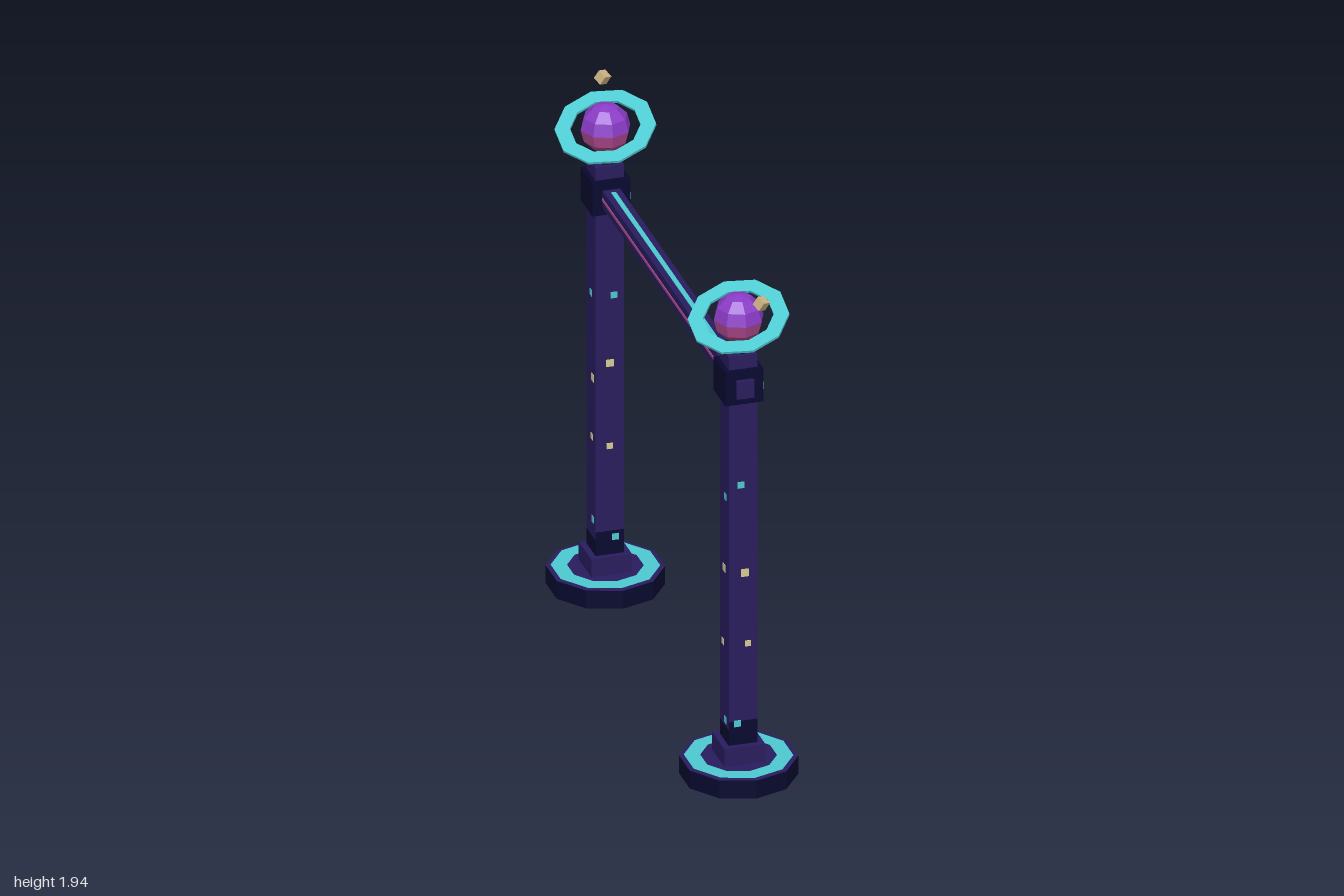
import * as THREE from 'three';

const mat = (name, color) => {
  const m = new THREE.MeshStandardMaterial({ color, flatShading: true });
  m.name = name;
  return m;
};

export function createModel() {
  const indigo = mat('indigo', 0x291d5e);
  const navy = mat('navy', 0x08082f);
  const plum = mat('plum', 0x22163a);
  const teal = mat('teal', 0x4ecad1);
  const paleYellow = mat('paleYellow', 0xd8cd92);
  const sand = mat('sand', 0xccb484);
  const violet = mat('violet', 0x8a3cc6);
  const rose = mat('rose', 0xb04a90);

  const root = new THREE.Group();
  root.name = 'planetBarrier';

  const add = (parent, name, geo, material, x = 0, y = 0, z = 0) => {
    const m = new THREE.Mesh(geo, material);
    m.name = name;
    m.position.set(x, y, z);
    parent.add(m);
    return m;
  };
  const box = (w, h, d) => new THREE.BoxGeometry(w, h, d);

  const POST_Z = 0.79, HALF = 0.0525, RAIL_Y = 1.544;

  // Star flecks per face: [offset along face, height, size]; outer two are teal, inner two yellow
  const flecks = {
    front: {
      pz: [[-0.008, 1.157, 0.025], [0.007, 0.811, 0.03], [0.018, 0.533, 0.023], [-0.021, 0.223, 0.025]],
      nz: [[-0.02, 1.14, 0.024], [-0.035, 0.878, 0.028], [-0.02, 0.573, 0.023], [0.025, 0.263, 0.027]],
      px: [[0, 1.09, 0.024], [0.007, 0.855, 0.028], [0.026, 0.574, 0.022], [0.022, 0.245, 0.024]],
      nx: [[0.015, 1.1, 0.024], [0, 0.815, 0.028], [-0.015, 0.52, 0.023], [0.015, 0.225, 0.025]],
    },
    back: {
      pz: [[0.015, 1.155, 0.024], [0, 0.89, 0.028], [0, 0.565, 0.023], [0.02, 0.207, 0.025]],
      nz: [[-0.02, 1.1, 0.024], [0, 0.84, 0.03], [-0.033, 0.607, 0.023], [-0.02, 0.286, 0.025]],
      px: [[0, 1.12, 0.024], [0.005, 0.87, 0.028], [0.02, 0.504, 0.024], [0.025, 0.268, 0.03]],
      nx: [[0, 1.15, 0.024], [0.02, 0.825, 0.028], [0.01, 0.59, 0.023], [0.02, 0.27, 0.025]],
    },
  };

  function makePost(side) {
    const post = new THREE.Group();
    post.name = side > 0 ? 'frontPost' : 'backPost';
    post.position.z = side * POST_Z;
    root.add(post);

    // Ten-sided foot with an inlaid ring
    add(post, 'foot', new THREE.CylinderGeometry(0.21, 0.21, 0.07, 10), [navy, indigo, plum], 0, 0.035, 0);
    const inlay = add(post, 'footInlay', new THREE.RingGeometry(0.135, 0.193, 10, 1, Math.PI / 2), teal, 0, 0.073, 0);
    inlay.rotation.x = -Math.PI / 2;
    add(post, 'plinth', box(0.15, 0.07, 0.15), indigo, 0, 0.105, 0);

    // Shaft with a dark lower band, taller on the front and back faces
    add(post, 'shaftBand', box(2 * HALF, 0.06, 2 * HALF), navy, 0, 0.17, 0);
    add(post, 'shaft', box(2 * HALF, 1.462, 2 * HALF), indigo, 0, 0.931, 0);
    for (const s of [-1, 1]) {
      add(post, 'bandPlate', box(2 * HALF, 0.032, 0.002), navy, 0, 0.216, s * HALF);
    }

    // Star flecks
    const sets = flecks[side > 0 ? 'front' : 'back'];
    for (const [face, list] of Object.entries(sets)) {
      const out = (face[0] === 'p' ? 1 : -1) * (HALF + 0.001);
      list.forEach(([u, y, s], i) => {
        const m = i === 0 || i === 3 ? teal : paleYellow;
        if (face[1] === 'z') add(post, 'starFleck', box(s, s, 0.002), m, u, y, out);
        else add(post, 'starFleck', box(0.002, s, s), m, out, y, u);
      });
    }

    // Collar, glowing band and neck
    add(post, 'collar', box(0.14, 0.13, 0.14), navy, 0, 1.547, 0);
    add(post, 'collarBand', box(0.003, 0.027, 0.138), teal, 0.0705, RAIL_Y, 0);
    add(post, 'neck', new THREE.CylinderGeometry(0.038, 0.038, 0.06, 10), navy, 0, 1.682, 0);

    // Two-tone planet
    const planet = new THREE.Group();
    planet.name = 'planet';
    planet.position.y = 1.79;
    post.add(planet);
    const half = (start) => new THREE.SphereGeometry(0.0915, 8, 3, 0, Math.PI * 2, start, Math.PI / 2);
    add(planet, 'planetTop', half(0), violet);
    add(planet, 'planetBottom', half(Math.PI / 2), rose);

    // Tilted flat ring
    const t = 0.005;
    const profile = [[0.125, -t], [0.18, -t], [0.18, t], [0.125, t], [0.125, -t]]
      .map(([r, y]) => new THREE.Vector2(r, y));
    const ring = add(planet, 'planetRing', new THREE.LatheGeometry(profile, 10), teal);
    ring.rotation.set(0.31, 0, 0.21);

    // Small moon on the outer side
    const moon = add(planet, 'moon', box(0.036, 0.036, 0.036), sand, 0.037, 0.119, side * 0.152);
    moon.rotation.set(0.5, 0.4, -0.5);
  }

  makePost(1);
  makePost(-1);

  // Rail joining the posts, dark beneath, with a stripe on top and on each side
  add(root, 'rail', box(0.064, 0.068, 1.754), [indigo, indigo, indigo, navy, indigo, indigo], 0, RAIL_Y, 0);
  add(root, 'railTopStripe', box(0.018, 0.003, 1.39), teal, 0, RAIL_Y + 0.0345, 0);
  add(root, 'railLeftStripe', box(0.005, 0.011, 1.44), teal, 0.0325, RAIL_Y, 0);
  add(root, 'railRightStripe', box(0.005, 0.011, 1.44), rose, -0.0325, RAIL_Y, 0);

  return root;
}
